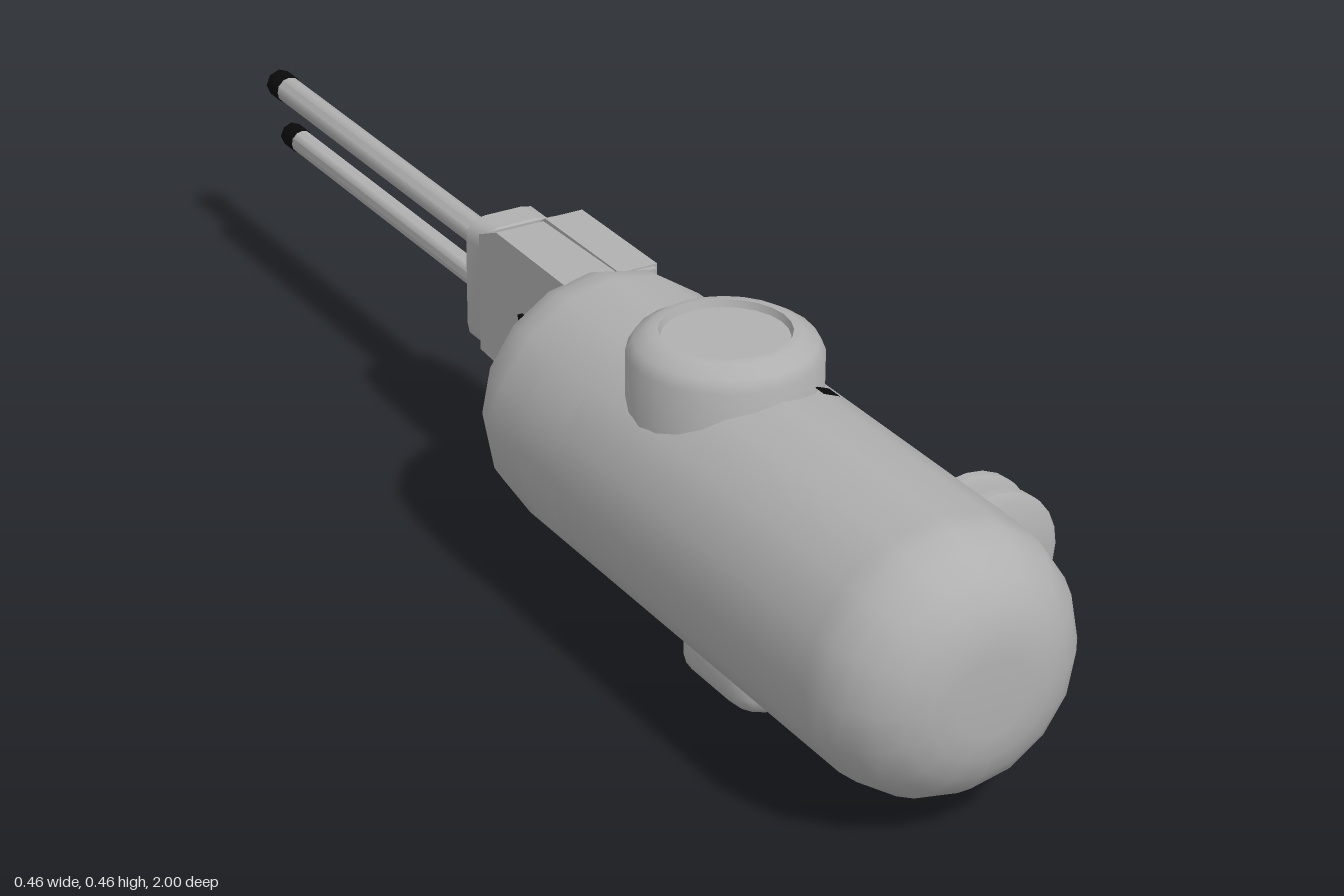
import * as THREE from 'three';
import { toCreasedNormals } from 'three/addons/utils/BufferGeometryUtils.js';

const CX = -0.039, CY = 0.2285; // axis of the main hull
const rad = THREE.MathUtils.degToRad;

export function createModel() {
  const model = new THREE.Group();
  const grey = new THREE.MeshStandardMaterial({ color: 0xb0b0b0 });
  grey.name = 'hull grey';
  const black = new THREE.MeshStandardMaterial({ color: 0x0a0a0a });
  black.name = 'black';

  const add = (name, geo, x = 0, y = 0, z = 0, mat = grey) => {
    const mesh = new THREE.Mesh(geo, mat);
    mesh.name = name;
    mesh.position.set(x, y, z);
    model.add(mesh);
    return mesh;
  };
  const lathe = (pts, sides) =>
    new THREE.LatheGeometry(pts.map(p => new THREE.Vector2(p[0], p[1])), sides);
  // curved plate on the hull; angle runs from the bottom (0) through +x (90) to the top (180)
  const hullPlate = (name, z0, z1, a0, a1, mat = grey, r = 0.1915) => {
    const n = Math.max(1, Math.round((a1 - a0) / 8));
    const geo = new THREE.CylinderGeometry(r, r, z1 - z0, n, 1, true, rad(a0), rad(a1 - a0));
    add(name, geo.rotateX(Math.PI / 2), CX, CY, (z0 + z1) / 2, mat);
  };
  const roundRect = (S, w, h, r) => {
    const s = new S(), x = w / 2, y = h / 2;
    s.moveTo(-x + r, -y).lineTo(x - r, -y).quadraticCurveTo(x, -y, x, -y + r);
    s.lineTo(x, y - r).quadraticCurveTo(x, y, x - r, y);
    s.lineTo(-x + r, y).quadraticCurveTo(-x, y, -x, y - r);
    s.lineTo(-x, -y + r).quadraticCurveTo(-x, -y, -x + r, -y);
    return s;
  };
  // side profile given as [z, y], running from x1 towards -x
  const sideExtrude = (pts, x1, width) => {
    const shape = new THREE.Shape(pts.map(p => new THREE.Vector2(p[0], p[1])));
    return new THREE.ExtrudeGeometry(shape, { depth: width, bevelEnabled: false })
      .rotateY(-Math.PI / 2).translate(x1, 0, 0);
  };

  // Hull: cylinder with rounded ends
  const profile = [];
  const cap = 0.13, R = 0.189, flat = 0.055;
  for (let i = 0; i <= 6; i++) {
    const a = (i / 6) * Math.PI / 2;
    profile.push([flat + (R - flat) * Math.sin(a), -0.03 + cap * (1 - Math.cos(a))]);
  }
  for (let i = 6; i >= 0; i--) {
    const a = (i / 6) * Math.PI / 2;
    profile.push([flat + (R - flat) * Math.sin(a), 1 - cap * (1 - Math.cos(a))]);
  }
  profile.unshift([0, -0.032]);
  profile.push([0, 1]);
  add('hull', lathe(profile, 16).rotateX(Math.PI / 2), CX, CY, 0);

  // Top hatch ring with a sunken lid
  const hatch = lathe([[0.13, 0.3], [0.13, 0.437], [0.121, 0.453], [0.1, 0.466],
    [0.088, 0.467], [0.085, 0.457], [0, 0.457]], 24);
  add('topHatch', toCreasedNormals(hatch, 0.7), -0.045, 0, 0.392);

  // Square frame under the hull
  const frame = roundRect(THREE.Shape, 0.152, 0.147, 0.03);
  frame.holes.push(roundRect(THREE.Path, 0.116, 0.112, 0.02));
  const frameGeo = new THREE.ExtrudeGeometry(frame, { depth: 0.022, bevelThickness: 0.025,
    bevelSize: 0.025, bevelSegments: 3, curveSegments: 4 });
  add('bottomFrame', toCreasedNormals(frameGeo.rotateX(Math.PI / 2), 0.7), -0.034, 0.052, 0.503);

  // Side fins on a base plate
  hullPlate('finBase', 0.665, 0.78, 59, 134, grey, 0.193);
  for (const z of [0.692, 0.746]) {
    const fin = lathe([[0, -0.013], [0.086, -0.013], [0.097, -0.006],
      [0.097, 0.006], [0.086, 0.013], [0, 0.013]], 24).rotateX(Math.PI / 2);
    add('sideFin', toCreasedNormals(fin, 0.7), 0.133, 0.247, z);
  }

  // Thin panels on the hull
  hullPlate('lowerPanel', 0.075, 0.285, -4, 41);
  hullPlate('rightPanel', 0.17, 0.27, 225, 300);
  hullPlate('sideStrip', 0.2, 0.665, 124, 128);
  for (let i = 0; i < 4; i++) {
    const shift = (i % 2) * 5;
    hullPlate('steppedPanel', 0.64 + i * 0.042, 0.682 + i * 0.042, 202 + shift, 209 + shift);
  }

  // Small black ports
  hullPlate('topPort', 0.498, 0.524, 154, 162, black, 0.195);
  hullPlate('lowerPort', 0.295, 0.32, 21, 29, black, 0.195);
  hullPlate('lowerPort', 0.295, 0.32, 9, 17, black, 0.195);
  add('mountPort', new THREE.BoxGeometry(0.009, 0.026, 0.026), -0.083, 0.285, -0.07, black);

  // Gun mount, narrowing towards the barrels
  const mount = sideExtrude([[0.06, 0.2], [0.06, 0.394], [-0.16, 0.39], [-0.215, 0.365],
    [-0.215, 0.185], [-0.02, 0.182]], 0.052, 0.137);
  const p = mount.attributes.position;
  for (let i = 0; i < p.count; i++) {
    const t = THREE.MathUtils.clamp(-p.getZ(i) / 0.215, 0, 1);
    p.setX(i, -0.0165 + (p.getX(i) + 0.0165) * (1 - 0.14 * t));
  }
  mount.computeVertexNormals();
  add('gunMount', mount);
  add('mountPlate', sideExtrude([[0.05, 0.22], [0.05, 0.396], [-0.155, 0.396], [-0.205, 0.36],
    [-0.205, 0.275], [-0.14, 0.25], [-0.03, 0.2]], 0.058, 0.06));
  const endBlock = new THREE.ExtrudeGeometry(roundRect(THREE.Shape, 0.108, 0.18, 0.025),
    { depth: 0.045, bevelThickness: 0.006, bevelSize: 0.006, bevelSegments: 1, curveSegments: 3 });
  add('mountEnd', toCreasedNormals(endBlock, 0.6), -0.014, 0.275, -0.255);

  // Collars and short studs around the barrels
  const rod = (name, x, y, z0, z1, r, mat = grey, sides = 12) => add(name,
    toCreasedNormals(new THREE.CylinderGeometry(r, r, z1 - z0, sides).rotateX(Math.PI / 2), 0.9),
    x, y, (z0 + z1) / 2, mat);
  for (const [x, y] of [[-0.04, 0.33], [0.022, 0.24], [-0.04, 0.29]])
    rod('mountStud', x, y, -0.285, -0.25, 0.015);

  // Two barrels with black muzzles
  for (const [x, y, end, r] of [[0, 0.294, -1, 0.021], [-0.025, 0.246, -0.91, 0.018]]) {
    rod('barrelCollar', x, y, -0.29, -0.25, r + 0.007);
    rod('barrel', x, y, end + 0.035, -0.25, r);
    rod('muzzle', x, y, end, end + 0.036, r + 0.001, black, 8);
  }
  return model;
}
